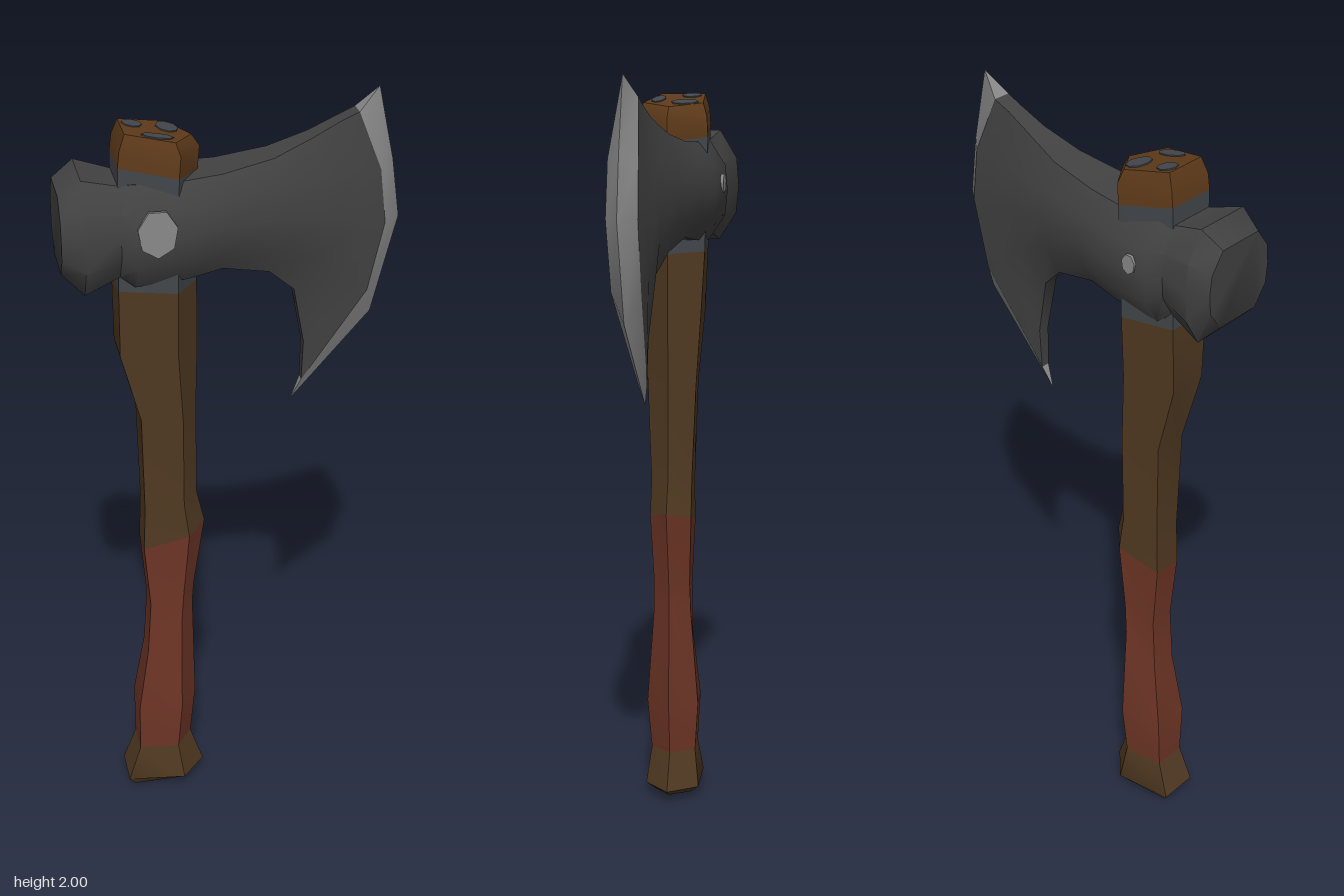
import * as THREE from 'three';
import { toCreasedNormals } from 'three/addons/utils/BufferGeometryUtils.js';

const paint = (name, color) => {
  const m = new THREE.MeshStandardMaterial({ color });
  m.name = name;
  return m;
};

// Skin a list of rings (counter-clockwise seen from the sweep direction), optionally capped
function loft(rings, capStart, capEnd, crease = 0.8) {
  const pos = [];
  const tri = (a, b, c) => pos.push(...a, ...b, ...c);
  const n = rings[0].length;
  for (let i = 0; i < rings.length - 1; i++) {
    for (let j = 0; j < n; j++) {
      const k = (j + 1) % n;
      const a = rings[i][j], b = rings[i][k], c = rings[i + 1][j], d = rings[i + 1][k];
      tri(a, b, c);
      tri(b, d, c);
    }
  }
  const first = rings[0], last = rings[rings.length - 1];
  for (let j = 1; j < n - 1; j++) {
    if (capStart) tri(first[0], first[j + 1], first[j]);
    if (capEnd) tri(last[0], last[j], last[j + 1]);
  }
  const g = new THREE.BufferGeometry();
  g.setAttribute('position', new THREE.Float32BufferAttribute(pos, 3));
  return toCreasedNormals(g, crease);
}

export function createModel() {
  const wood = paint('wood', 0x513a22);
  const topWood = paint('topWood', 0x5e3a1a);
  const leather = paint('leather', 0x6e3526);
  const iron = paint('iron', 0x424242);
  const slate = paint('slate', 0x43474b);
  const steel = paint('steel', 0x8a8a8a);

  const model = new THREE.Group();
  const add = (name, geometry, material) => {
    const mesh = new THREE.Mesh(geometry, material);
    mesh.name = name;
    model.add(mesh);
    return mesh;
  };

  // Handle: five-sided sections [left x, left y, right x, right y, half depth]
  const pentagon = [[-1, -0.75], [-1, 0.7], [0.4, 1], [1, 0], [0.4, -1]];
  const handleRing = ([x0, y0, x1, y1, h]) => pentagon.map(([u, v]) => {
    const t = (u + 1) / 2;
    return [x0 + (x1 - x0) * t, y0 + (y1 - y0) * t, v * h];
  });
  const handle = [
    [-0.28, 0, -0.10, 0.02, 0.05],
    [-0.30, 0.03, -0.08, 0.035, 0.075],
    [-0.265, 0.13, -0.115, 0.14, 0.062],
    [-0.265, 0.27, -0.10, 0.28, 0.072],
    [-0.235, 0.45, -0.105, 0.58, 0.052],
    [-0.225, 0.60, -0.10, 0.64, 0.05],
    [-0.24, 0.78, -0.07, 0.83, 0.057],
    [-0.235, 0.90, -0.09, 0.92, 0.056],
    [-0.24, 1.17, -0.09, 1.17, 0.066],
    [-0.29, 1.36, -0.085, 1.36, 0.076],
    [-0.29, 1.54, -0.085, 1.53, 0.086],
    [-0.285, 1.86, -0.08, 1.82, 0.094],
    [-0.28, 1.90, -0.075, 1.88, 0.092],
    [-0.265, 1.94, -0.095, 1.91, 0.08],
  ].map(handleRing);
  const handlePart = (name, from, to, material) => add(name,
    loft(handle.slice(from, to + 1), from === 0, to === handle.length - 1), material);
  handlePart('handleKnob', 0, 2, wood);
  handlePart('grip', 2, 6, leather);
  handlePart('shaft', 6, 10, wood);
  handlePart('collar', 10, 11, slate);
  handlePart('handleTop', 11, 13, topWood);

  // Dark wedges on the end of the handle
  for (const [x, z, rx, rz] of [[-0.235, -0.03, 0.025, 0.026], [-0.15, -0.03, 0.028, 0.036], [-0.185, 0.048, 0.04, 0.018]]) {
    const wedge = add('wedge', new THREE.CylinderGeometry(1, 1, 0.006, 8), slate);
    wedge.scale.set(rx, 1, rz);
    wedge.rotation.z = -0.175;
    wedge.position.set(x, 1.94 - (x + 0.265) * 0.176, z);
  }

  // Head: side line from top to bottom, mirrored in z with a rounded thickness
  const headRing = (line, h, round) => {
    const front = line.map(([x, y], i) => [x, y, h * round[i]]);
    const back = line.map(([x, y], i) => [x, y, -h * round[i]]).reverse();
    return [...front, ...back];
  };
  const oval = [0.6, 0.95, 1, 0.95, 0.6];
  const flat = [0.5, 0.9, 1, 0.9, 0.35];
  const upright = (x, top, bottom) =>
    [0, 0.25, 0.5, 0.75, 1].map((t) => [x, top + (bottom - top) * t]);

  const poll = [
    [-0.43, 1.80, 1.60, 0.11],
    [-0.375, 1.84, 1.545, 0.13],
    [-0.285, 1.815, 1.58, 0.105],
    [-0.25, 1.82, 1.555, 0.125],
    [-0.12, 1.82, 1.565, 0.12],
    [-0.03, 1.825, 1.58, 0.1],
  ].map(([x, top, bottom, h]) => headRing(upright(x, top, bottom), h, oval));

  const bevel = headRing([[0.315, 1.945], [0.37, 1.80], [0.385, 1.66], [0.345, 1.48], [0.185, 1.23]],
    0.04, [0.6, 0.95, 1, 0.95, 0.3]);
  const blade = [
    headRing([[0.1, 1.85], [0.11, 1.78], [0.12, 1.70], [0.11, 1.63], [0.09, 1.555]], 0.076, oval),
    headRing([[0.2, 1.89], [0.225, 1.79], [0.235, 1.69], [0.215, 1.59], [0.16, 1.49]], 0.058, flat),
    headRing([[0.27, 1.925], [0.31, 1.80], [0.325, 1.67], [0.29, 1.52], [0.188, 1.34]], 0.047, flat),
    bevel,
  ];
  add('head', loft([...poll, ...blade], true, false), iron);

  // Sharpened steel edge
  const edge = headRing([[0.37, 2.0], [0.41, 1.81], [0.43, 1.66], [0.365, 1.405], [0.158, 1.17]], 0, oval);
  add('cuttingEdge', loft([bevel, edge], false, false, 0.6), steel);

  // Worn steel patches on both cheeks
  for (const [side, rx, ry] of [[1, 0.05, 0.062], [-1, 0.02, 0.026]]) {
    const patch = add('cheekPatch', new THREE.CylinderGeometry(1, 1, 0.009, 7), steel);
    patch.rotation.x = Math.PI / 2;
    patch.scale.set(rx, 1, ry);
    patch.position.set(-0.2, 1.71, side * 0.123);
  }

  return model;
}
